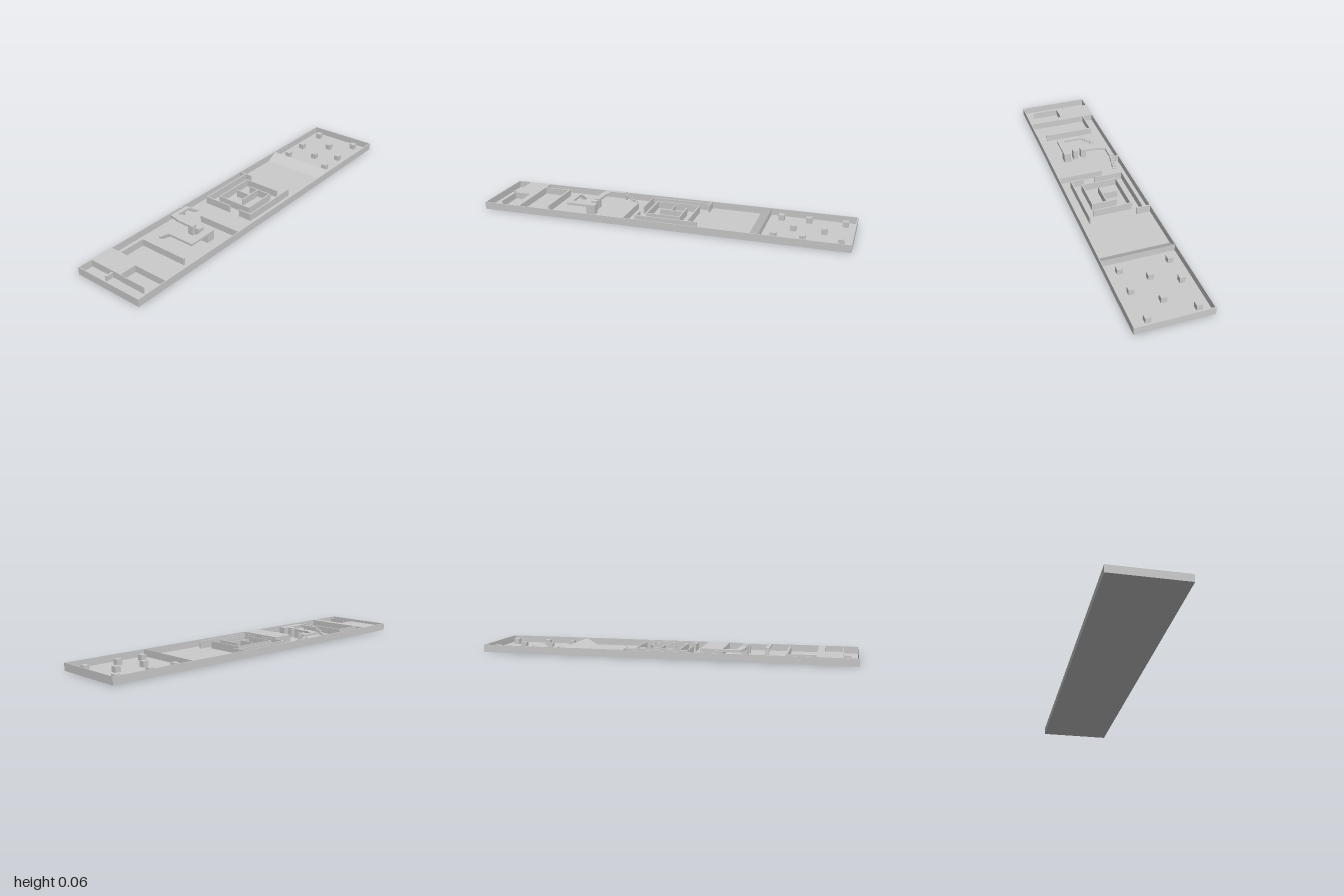
import * as THREE from 'three';

const FLOOR = 0.003, WALL = 0.04;

export function createModel() {
  const model = new THREE.Group();
  const material = new THREE.MeshStandardMaterial({ color: 0xcccccc, flatShading: true });

  const add = (name, geometry, parent = model) => {
    const mesh = new THREE.Mesh(geometry, material);
    mesh.name = name;
    parent.add(mesh);
    return mesh;
  };
  // Box given by its limits on each axis
  const block = (name, x0, x1, y0, y1, z0, z1, parent) => {
    const g = new THREE.BoxGeometry(x1 - x0, y1 - y0, z1 - z0);
    g.translate((x0 + x1) / 2, (y0 + y1) / 2, (z0 + z1) / 2);
    return add(name, g, parent);
  };
  const group = (name) => {
    const g = new THREE.Group();
    g.name = name;
    model.add(g);
    return g;
  };
  // Thin upright wall along an axis-aligned centre line
  const wall = (name, x0, z0, x1, z1, top, t, parent) => block(name,
    Math.min(x0, x1) - t / 2, Math.max(x0, x1) + t / 2, FLOOR, top,
    Math.min(z0, z1) - t / 2, Math.max(z0, z1) + t / 2, parent);

  // Floor and outer rim
  block('floor', -1, 1, 0, FLOOR, -0.198, 0.198);
  const rim = group('outerRim');
  for (const s of [-1, 1]) {
    block('longRim', -1, 1, 0, WALL, s * 0.1955 - 0.0025, s * 0.1955 + 0.0025, rim);
    block('endRim', s * 0.9975 - 0.0025, s * 0.9975 + 0.0025, 0, WALL, -0.193, 0.193, rim);
  }

  // Entry room: raised corner, sunken room and its partition
  const entry = group('entryRoom');
  block('raisedCorner', -0.92, -0.79, FLOOR, WALL, -0.193, 0, entry);
  block('raisedStrip', -0.825, -0.79, FLOOR, WALL, 0, 0.193, entry);
  wall('partition', -0.92, 0, -0.92, 0.15, WALL, 0.004, entry);
  block('ledge', -0.96, -0.92, FLOOR, 0.03, -0.06, -0.05, entry);

  // L-shaped wall
  const bend = group('bentWall');
  wall('bentWallBack', -0.79, -0.135, -0.64, -0.135, WALL, 0.008, bend);
  wall('bentWallSide', -0.64, -0.135, -0.64, 0.135, WALL, 0.01, bend);

  // Raised walkway with stairs at both ends
  const walk = group('walkway');
  const Y0 = 0.043, Y1 = 0.055;
  block('firstPath', -0.545, -0.525, Y0, Y1, -0.05, 0.104, walk);
  block('crossPath', -0.525, -0.38, Y0, Y1, 0.065, 0.104, walk);
  block('pathEnd', -0.43, -0.38, FLOOR, Y1, 0.065, 0.104, walk);
  block('steppingPillar', -0.427, -0.392, FLOOR, 0.057, 0.02, 0.046, walk);
  const turn = new THREE.Shape([
    [-0.425, 0], [-0.395, 0], [-0.39, -0.09], [-0.375, -0.14], [-0.29, -0.14],
    [-0.29, -0.163], [-0.41, -0.163], [-0.423, -0.1],
  ].map(([x, z]) => new THREE.Vector2(x, -z)));
  const turnGeo = new THREE.ExtrudeGeometry(turn, { depth: Y1 - Y0, bevelEnabled: false });
  turnGeo.rotateX(-Math.PI / 2);
  turnGeo.translate(0, Y0, 0);
  add('secondPath', turnGeo, walk);
  block('pathSupport', -0.425, -0.395, FLOOR, Y0, -0.03, 0, walk);
  for (let i = 0; i < 5; i++) {
    const top = 0.047 - i * 0.009, low = Math.max(FLOOR, top - 0.014);
    block('firstStair', -0.545, -0.525, low, top, -0.064 - i * 0.014, -0.05 - i * 0.014, walk);
    block('lastStair', -0.29 + i * 0.013, -0.277 + i * 0.013, low, top, -0.16, -0.139, walk);
  }

  // Raised block and doorway stub
  block('raisedBlock', -0.3, -0.18, FLOOR, WALL, -0.055, 0.193);
  wall('doorStub', -0.3, -0.193, -0.3, -0.17, WALL, 0.006);

  // Maze of thin walls: x0, z0, x1, z1
  const maze = group('maze');
  for (const w of [
    [-0.13, -0.155, 0.205, -0.155], [-0.13, -0.155, -0.13, 0], [-0.13, 0.07, -0.13, 0.14],
    [-0.13, 0.14, 0.205, 0.14], [0.205, -0.193, 0.205, -0.12],
    [-0.083, -0.105, 0.155, -0.105], [0.155, -0.105, 0.155, 0.1],
    [-0.083, -0.105, -0.083, 0.092], [-0.083, 0.092, 0.1, 0.092],
    [0.1, -0.04, 0.1, 0.092], [-0.03, 0.012, 0.1, 0.012], [0.027, -0.07, 0.027, 0.012],
  ]) wall('mazeWall', ...w, 0.043, 0.007, maze);

  // Ramp rising to a drop
  const profile = new THREE.Shape([
    new THREE.Vector2(0.48, FLOOR), new THREE.Vector2(0.54, FLOOR), new THREE.Vector2(0.54, 0.039),
  ]);
  const rampGeo = new THREE.ExtrudeGeometry(profile, { depth: 0.386, bevelEnabled: false });
  rampGeo.translate(0, 0, -0.193);
  add('ramp', rampGeo);

  // Scattered cubes in the end room
  const cubes = group('cubes');
  for (const [x, z] of [
    [0.605, -0.137], [0.752, -0.137], [0.942, -0.137], [0.687, -0.003], [0.847, -0.003],
    [0.605, 0.123], [0.752, 0.12], [0.942, 0.112],
  ]) block('cube', x - 0.015, x + 0.015, FLOOR, 0.033, z - 0.015, z + 0.015, cubes);

  return model;
}
